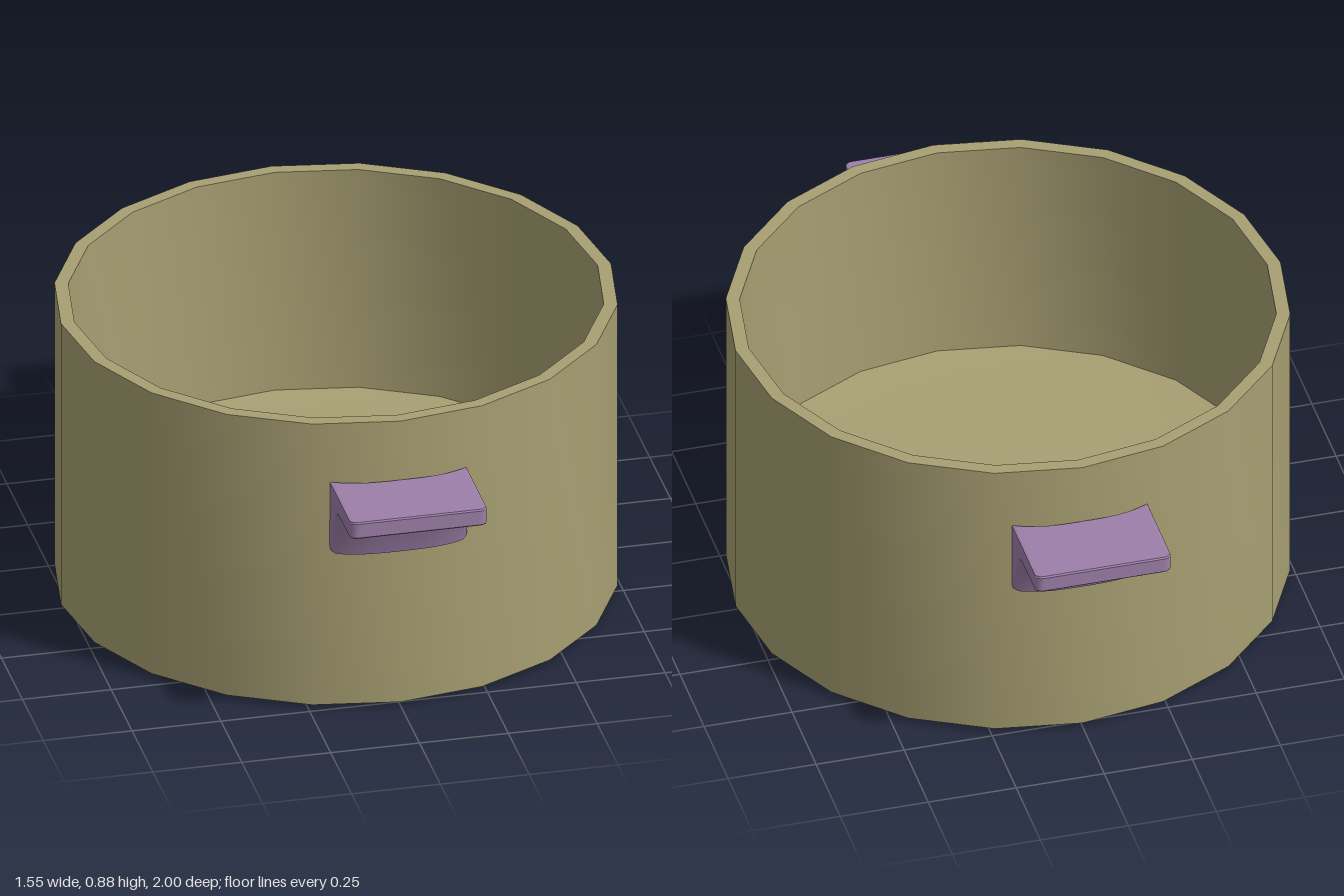
import * as THREE from 'three';
import { toCreasedNormals } from 'three/addons/utils/BufferGeometryUtils.js';

const potMaterial = new THREE.MeshStandardMaterial({ color: 0xa79f72 });
const handleMaterial = new THREE.MeshStandardMaterial({ color: 0x9d7fa9 });

// Twenty-sided open pot: outer wall, flat rim, inner wall and raised floor in one turned profile
function createPot() {
  const profile = [
    [0, 0], [0.58, 0.001], [0.72, 0.007], [0.774, 0.012],
    [0.774, 0.88], [0.736, 0.88],
    [0.736, 0.207], [0.7, 0.203], [0.6, 0.2], [0, 0.2],
  ].map(([r, y]) => new THREE.Vector2(r, y));
  const geometry = toCreasedNormals(new THREE.LatheGeometry(profile, 20), Math.PI / 6);
  const pot = new THREE.Mesh(geometry, potMaterial);
  pot.name = 'pot';
  return pot;
}

// Bracket handle: a flat grip on a tapering web, swept across x and bent to hug the pot
function createHandle(name) {
  const bevel = 0.004;
  const width = 0.386;
  const corner = 0.02;
  const shape = new THREE.Shape();
  shape.moveTo(0.777, 0.482);
  shape.lineTo(0.782, 0.482);
  shape.lineTo(0.787, 0.5);
  shape.lineTo(0.805, 0.55);
  shape.lineTo(0.828, 0.605);
  shape.quadraticCurveTo(0.845, 0.648, 0.88, 0.649);
  shape.lineTo(0.996, 0.65);
  shape.lineTo(1, 0.654);
  shape.lineTo(1, 0.696);
  shape.lineTo(0.996, 0.7);
  shape.lineTo(0.777, 0.7);
  shape.closePath();

  const geometry = new THREE.ExtrudeGeometry(shape, {
    depth: width - 2 * bevel, steps: 36, curveSegments: 6,
    bevelEnabled: true, bevelThickness: bevel, bevelSize: bevel,
    bevelOffset: -bevel, bevelSegments: 2,
  });
  geometry.translate(0, 0, bevel - width / 2);
  geometry.rotateY(-Math.PI / 2);

  const { smoothstep } = THREE.MathUtils;
  const p = geometry.attributes.position;
  for (let i = 0; i < p.count; i++) {
    const [x, y, z] = [p.getX(i), p.getY(i), p.getZ(i)];
    const side = Math.abs(x) / (width / 2);
    // The web follows the wall; the bend fades out toward the straight grip edge
    const bend = 0.033 * side ** 3 * (1 - smoothstep(z, 0.82, 0.93));
    // Round the outer corners of the grip and the lower corners of the web
    const t = Math.min(1, Math.max(0, (Math.abs(x) - width / 2 + corner) / corner));
    const round = corner * (1 - Math.sqrt(1 - t * t));
    p.setY(i, y + round * (1 - smoothstep(y, 0.49, 0.55)));
    p.setZ(i, z - bend - round * smoothstep(z, 0.94, 0.99));
  }
  const handle = new THREE.Mesh(toCreasedNormals(geometry, Math.PI / 5), handleMaterial);
  handle.name = name;
  return handle;
}

export function createModel() {
  const model = new THREE.Group();
  model.name = 'cookingPot';
  const front = createHandle('frontHandle');
  const back = createHandle('backHandle');
  back.rotation.y = Math.PI;
  model.add(createPot(), front, back);
  return model;
}
